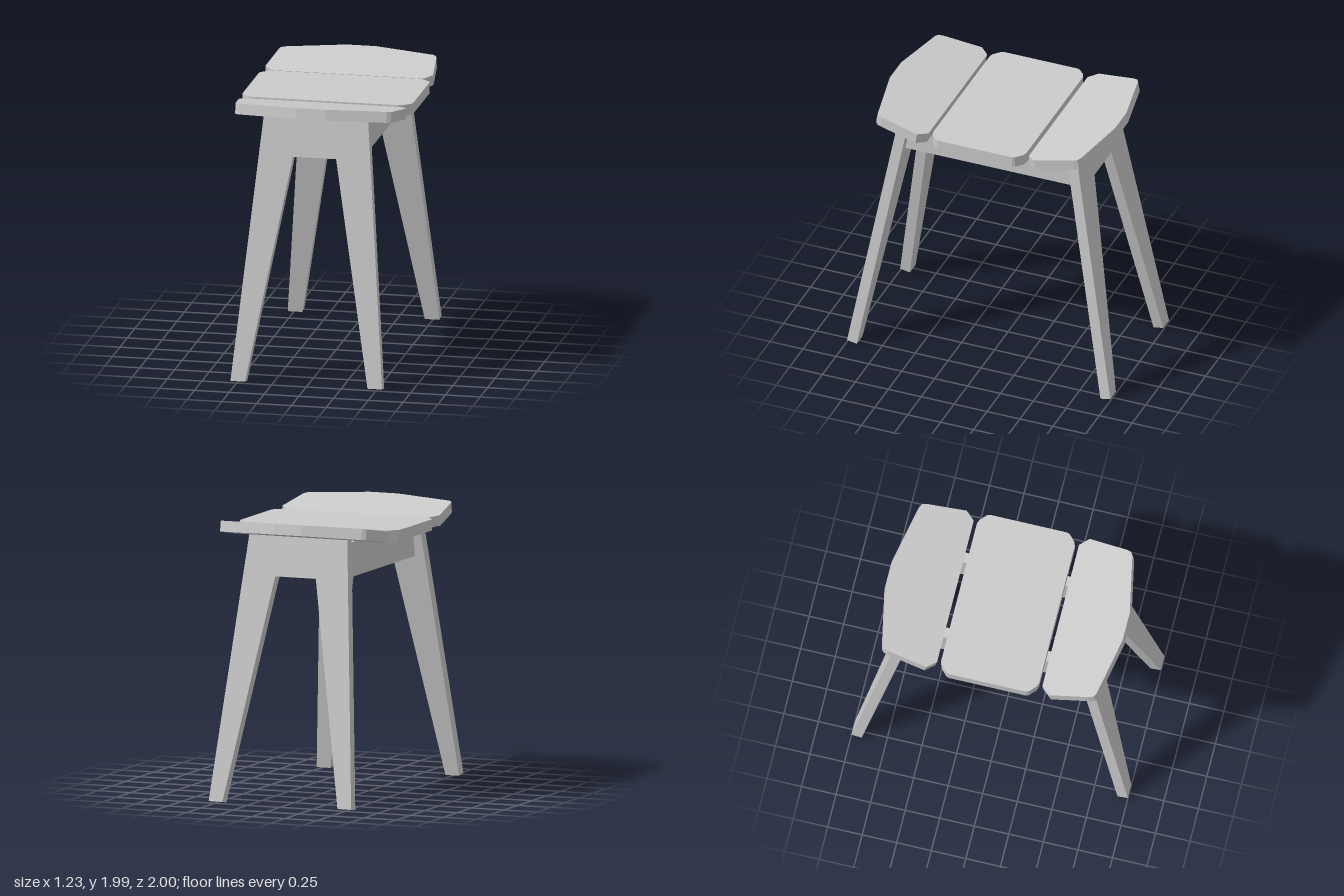
import * as THREE from 'three';

const TILT = THREE.MathUtils.degToRad(10);
const material = new THREE.MeshStandardMaterial({ color: 0xcccccc, flatShading: true });

// Closed shape from the points of its +x half, mirrored to -x
function mirroredShape(half) {
  const left = half.map(([x, y]) => [-x, y]).reverse();
  return new THREE.Shape([...half, ...left].map(([x, y]) => new THREE.Vector2(x, y)));
}

function extrude(shape, depth) {
  return new THREE.ExtrudeGeometry(shape, { depth, bevelEnabled: false });
}

// Flat board: shape y becomes z, thickness goes upward from y = 0
function boardGeometry(half, thickness) {
  return extrude(mirroredShape(half), thickness).translate(0, 0, -thickness).rotateX(Math.PI / 2);
}

function addMesh(parent, name, geometry) {
  const mesh = new THREE.Mesh(geometry, material);
  mesh.name = name;
  parent.add(mesh);
  return mesh;
}

export function createModel() {
  const model = new THREE.Group();
  model.name = 'stool';

  // Splayed leg panel with a tapered cut-out between its two legs
  const legGeometry = extrude(mirroredShape([
    [0.155, 1.606], [0.44, 0], [0.545, 0], [0.375, 1.89],
  ]), 0.076).rotateX(-TILT).translate(0, 0, 0.925);

  // Raised end of the seat, sloping up and outward
  const endGeometry = boardGeometry([
    [0.545, 0], [0.602, 0.065], [0.567, 0.35], [0.557, 0.38],
    [0.53, 0.396], [0.105, 0.482],
  ], 0.077).rotateX(-TILT).translate(0, 1.83, 0.394);

  [['front', 0], ['back', Math.PI]].forEach(([side, angle]) => {
    addMesh(model, side + 'LegPanel', legGeometry).rotation.y = angle;
    addMesh(model, side + 'SeatPanel', endGeometry).rotation.y = angle;
  });

  // Flat centre of the seat with clipped corners
  addMesh(model, 'middleSeatPanel', boardGeometry([
    [0.53, -0.354], [0.558, -0.343], [0.604, -0.3], [0.613, -0.28],
    [0.613, 0.28], [0.604, 0.3], [0.558, 0.343], [0.53, 0.354],
  ], 0.08).translate(0, 1.831, 0));

  // Rails between the leg panels, ends cut to the splay
  const railGeometry = extrude(mirroredShape([[0.646, 1.585], [0.603, 1.831]]), 0.076)
    .translate(0, 0, -0.038).rotateY(Math.PI / 2);
  [['left', 1], ['right', -1]].forEach(([side, s]) => {
    addMesh(model, side + 'Rail', railGeometry).position.x = s * 0.288;
  });

  return model;
}
